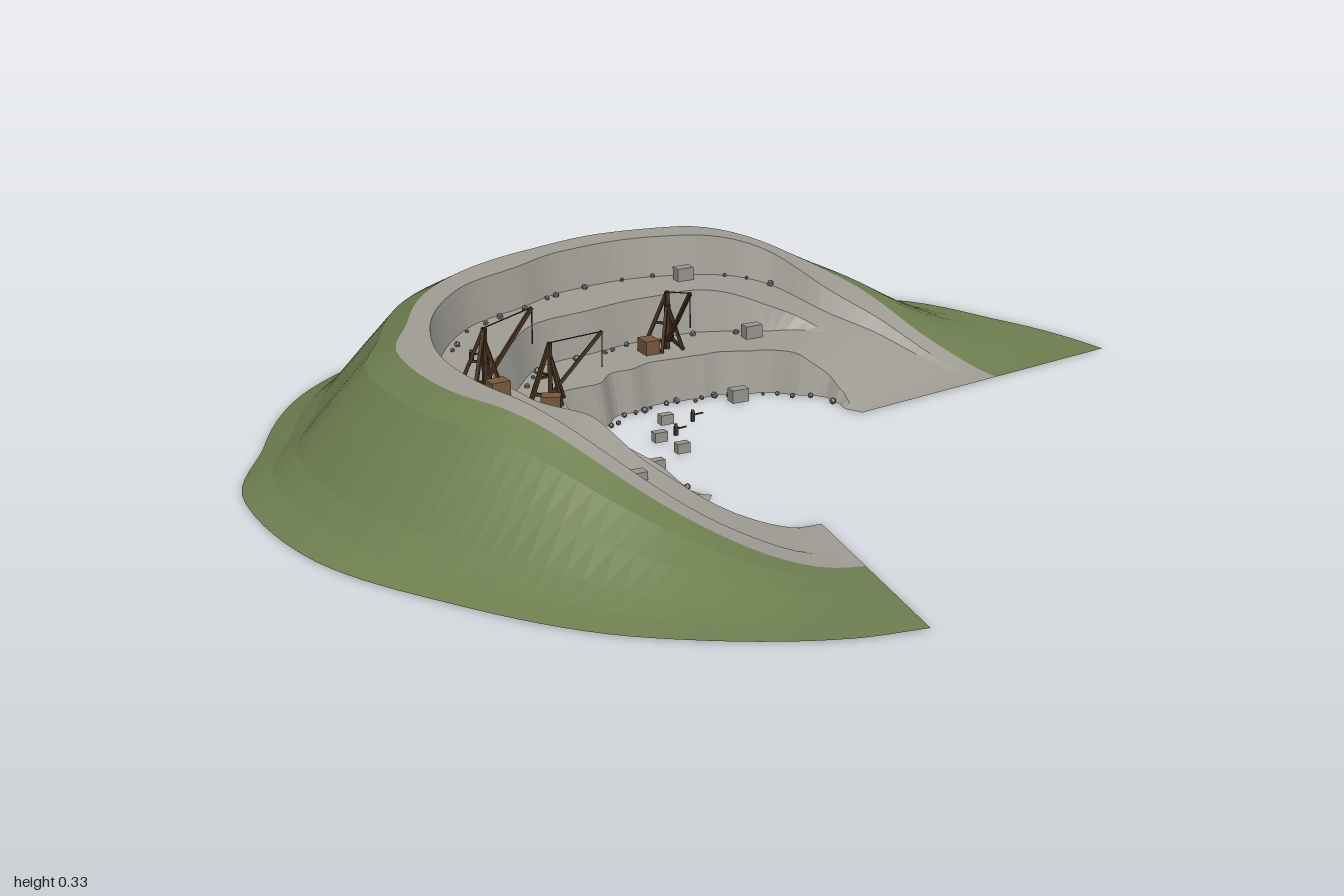
import * as THREE from 'three';

const mat = (name, color, extra = {}) => {
  const m = new THREE.MeshStandardMaterial({ color, flatShading: true, ...extra });
  m.name = name;
  return m;
};
const rad = THREE.MathUtils.degToRad;
const START = 10, END = 261, RAMP_END = 231;

// radius by bearing (degrees, counted from +x towards the back), eased between keys
const track = (keys) => (a) => {
  let i = 0;
  while (i < keys.length - 2 && a > keys[i + 1][0]) i++;
  const [a0, r0] = keys[i], [a1, r1] = keys[i + 1];
  return r0 + (r1 - r0) * THREE.MathUtils.smoothstep(a, a0, a1);
};
const outer = track([[10, 1.015], [26, 1.02], [40, 1.05], [55, 1.015], [71, 1.0], [87, 1.0], [104, 0.974], [129, 0.975],
  [152, 0.96], [170, 1.01], [189, 1.01], [210, 0.987], [233, 1.01], [253, 1.02], [261, 1.01]]);
const edge1 = track([[10, 0.325], [17, 0.315], [24, 0.335], [31, 0.35], [42, 0.335], [51, 0.335], [60, 0.32], [68, 0.32],
  [77, 0.305], [87, 0.3], [97, 0.305], [107, 0.295], [116, 0.31], [127, 0.295], [143, 0.355], [155, 0.33], [170, 0.305],
  [186, 0.305], [200, 0.315], [215, 0.285], [231, 0.29]]);
const edge2 = track([[10, 0.5], [46, 0.5], [57, 0.475], [72, 0.475], [86, 0.455], [104, 0.445], [123, 0.473], [140, 0.46],
  [158, 0.485], [180, 0.452], [199, 0.42], [224, 0.47], [238, 0.485], [255, 0.475], [261, 0.468]]);
const edge3 = track([[10, 0.64], [32, 0.638], [45, 0.61], [57, 0.635], [72, 0.605], [84, 0.61], [100, 0.6], [114, 0.58],
  [131, 0.6], [157, 0.6], [180, 0.607], [209, 0.618], [234, 0.63], [246, 0.62], [261, 0.62]]);

// terrace heights, sinking to the ground at both ends
const fade = (a) => THREE.MathUtils.smoothstep(a, START, START + 63) * (1 - THREE.MathUtils.smoothstep(a, END - 63, END));
const top3 = (a) => 0.265 * fade(a);
const top2 = (a) => 0.18 * fade(a);
const top1 = (a) => Math.min(top2(a), 0.09 * THREE.MathUtils.smoothstep(a, START, 45)
  * (1 - THREE.MathUtils.smoothstep(a, RAMP_END - 35, RAMP_END)));
const ground = () => 0;
const grow = (f, d) => (a) => f(a) + d;
const scale = (f, k) => (a) => f(a) * k;
const rim = scale(outer, 0.69);

const polar = (a, r, y) => new THREE.Vector3(r * Math.cos(rad(a)), y, -r * Math.sin(rad(a)));

// sheet swept around the pit; rows run outwards as [radius, height] functions
function sweep(name, material, from, to, rows) {
  const n = Math.round((to - from) / 2.5), pos = [], index = [], w = rows.length;
  for (let i = 0; i <= n; i++) {
    const a = from + ((to - from) * i) / n;
    for (const [r, y] of rows) pos.push(...polar(a, r(a), y(a)).toArray());
  }
  for (let i = 0; i < n; i++) for (let j = 0; j < w - 1; j++) {
    const p = i * w + j;
    index.push(p, p + 1, p + w, p + 1, p + w + 1, p + w);
  }
  const g = new THREE.BufferGeometry();
  g.setAttribute('position', new THREE.Float32BufferAttribute(pos, 3));
  g.setIndex(index);
  g.computeVertexNormals();
  const m = new THREE.Mesh(g, material);
  m.name = name;
  return m;
}

function box(name, material, w, h, d, x, y, z) {
  const m = new THREE.Mesh(new THREE.BoxGeometry(w, h, d), material);
  m.name = name;
  m.position.set(x, y, z);
  return m;
}

// square timber or rope between two points
function beam(name, material, a, b, t) {
  const p = new THREE.Vector3(...a), q = new THREE.Vector3(...b);
  const m = box(name, material, t, t, p.distanceTo(q), 0, 0, 0);
  m.position.copy(p).add(q).multiplyScalar(0.5);
  m.lookAt(q);
  return m;
}

// derrick crane, its boom reaching out over the pit along local +z
function crane(wood, plank, rope) {
  const g = new THREE.Group();
  g.name = 'derrickCrane';
  const head = [0, 0.125, 0], tip = [0, 0.15, 0.105];
  g.add(beam('mast', wood, [0, 0, 0], head, 0.009));
  g.add(beam('boom', wood, [0, 0.02, 0.005], tip, 0.007));
  g.add(beam('stayRope', rope, head, tip, 0.002));
  g.add(beam('hoistRope', rope, tip, [0, 0.075, 0.105], 0.002));
  for (const s of [-1, 1]) {
    g.add(beam('backLeg', wood, head, [s * 0.033, 0, -0.04], 0.007));
    g.add(beam('frontLeg', wood, [0, 0.1, 0], [s * 0.025, 0, 0.025], 0.006));
    g.add(beam('footBeam', wood, [s * 0.033, 0.004, -0.04], [s * 0.025, 0.004, 0.025], 0.006));
    g.add(beam('brace', wood, [s * 0.018, 0.055, -0.022], [0, 0.055, 0], 0.005));
  }
  g.add(beam('crossBeam', wood, [-0.033, 0.004, -0.04], [0.033, 0.004, -0.04], 0.006));
  g.add(box('winch', plank, 0.032, 0.03, 0.04, -0.046, 0.015, 0.005));
  return g;
}

export function createModel() {
  const root = new THREE.Group();
  root.name = 'terracedQuarry';
  const open = { side: THREE.DoubleSide };
  const rock = mat('paleRock', 0xa09d95, open);
  const grass = mat('grass', 0x6f7f50, open);
  const stone = mat('cutStone', 0x97958e);
  const rubbleMat = mat('rubble', 0x6e6b66);
  const wood = mat('darkTimber', 0x46321f);
  const plank = mat('plank', 0x75583c);
  const dark = mat('darkCloth', 0x38342f);

  // stepped rock inside the pit
  const t = 0.016;
  root.add(sweep('lowerWall', rock, START, RAMP_END, [[edge1, ground], [grow(edge1, t), top1]]));
  root.add(sweep('lowerTerrace', rock, START, RAMP_END, [[grow(edge1, t), top1], [edge2, top1]]));
  root.add(sweep('middleWall', rock, START, END, [[edge2, top1], [grow(edge2, t), top2]]));
  root.add(sweep('middleTerrace', rock, START, END, [[grow(edge2, t), top2], [edge3, top2]]));
  root.add(sweep('upperWall', rock, START, END, [[edge3, top2], [grow(edge3, t), top3]]));
  root.add(sweep('rim', rock, START, END, [[grow(edge3, t), top3], [rim, top3]]));

  // grassy outer bank
  const bank = [[0.69, 1], [0.75, 0.88], [0.82, 0.58], [0.89, 0.27], [0.94, 0.11], [1, 0]];
  root.add(sweep('grassBank', grass, START, END, bank.map(([k, h]) => [scale(outer, k), scale(top3, h)])));

  // cranes on the terraces, facing the middle
  for (const [x, y, z, turn] of [[-0.52, 0.18, -0.085, 92], [-0.33, 0.09, -0.19, 60], [0.035, 0.09, -0.385, 0]]) {
    const c = crane(wood, plank, dark);
    c.position.set(x, y, z);
    c.rotation.y = rad(turn);
    root.add(c);
  }

  // cut blocks on the floor and terraces
  const blocks = [[0.16, 0.18, -0.55], [0.23, 0.09, -0.37], [0.13, 0, -0.245], [-0.07, 0, -0.19], [-0.13, 0, -0.1],
    [-0.12, 0, -0.02], [-0.21, 0, 0.045], [-0.26, 0, 0.08], [-0.415, 0.105, 0.36]];
  blocks.forEach(([x, y, z], i) => {
    const k = i > 2 && i < 7 ? 0.75 : 1;
    root.add(box('cutBlock', stone, 0.038 * k, 0.028 * k, 0.025 * k, x, y + 0.014 * k, z));
  });

  // rubble along the foot of each wall
  let seed = 7;
  const rnd = () => (seed = (seed * 16807) % 2147483647) / 2147483647;
  for (const [edge, base, from, to, count] of [[edge1, ground, 25, 225, 34], [edge2, top1, 55, 215, 24], [edge3, top2, 50, 225, 26]]) {
    for (let i = 0; i < count; i++) {
      const a = from + ((to - from) * (i + rnd())) / count, s = 0.004 + 0.004 * rnd();
      const m = new THREE.Mesh(new THREE.DodecahedronGeometry(s), rubbleMat);
      m.name = 'rubbleStone';
      m.position.copy(polar(a, edge(a) - 0.004 - 0.016 * rnd(), base(a) + s * 0.6));
      m.rotation.y = rnd() * 6;
      root.add(m);
    }
  }

  // small workers with picks
  for (const [x, y, z] of [[-0.475, 0.18, -0.25], [-0.015, 0, -0.175], [-0.085, 0, -0.115], [-0.25, 0, 0.0]]) {
    const w = new THREE.Group();
    w.name = 'worker';
    w.add(box('body', dark, 0.008, 0.02, 0.006, 0, 0.01, 0));
    w.add(box('head', plank, 0.005, 0.005, 0.005, 0, 0.0225, 0));
    w.add(beam('pick', wood, [0, 0.014, 0], [0.018, 0.02, 0.012], 0.003));
    w.position.set(x, y, z);
    root.add(w);
  }
  return root;
}
